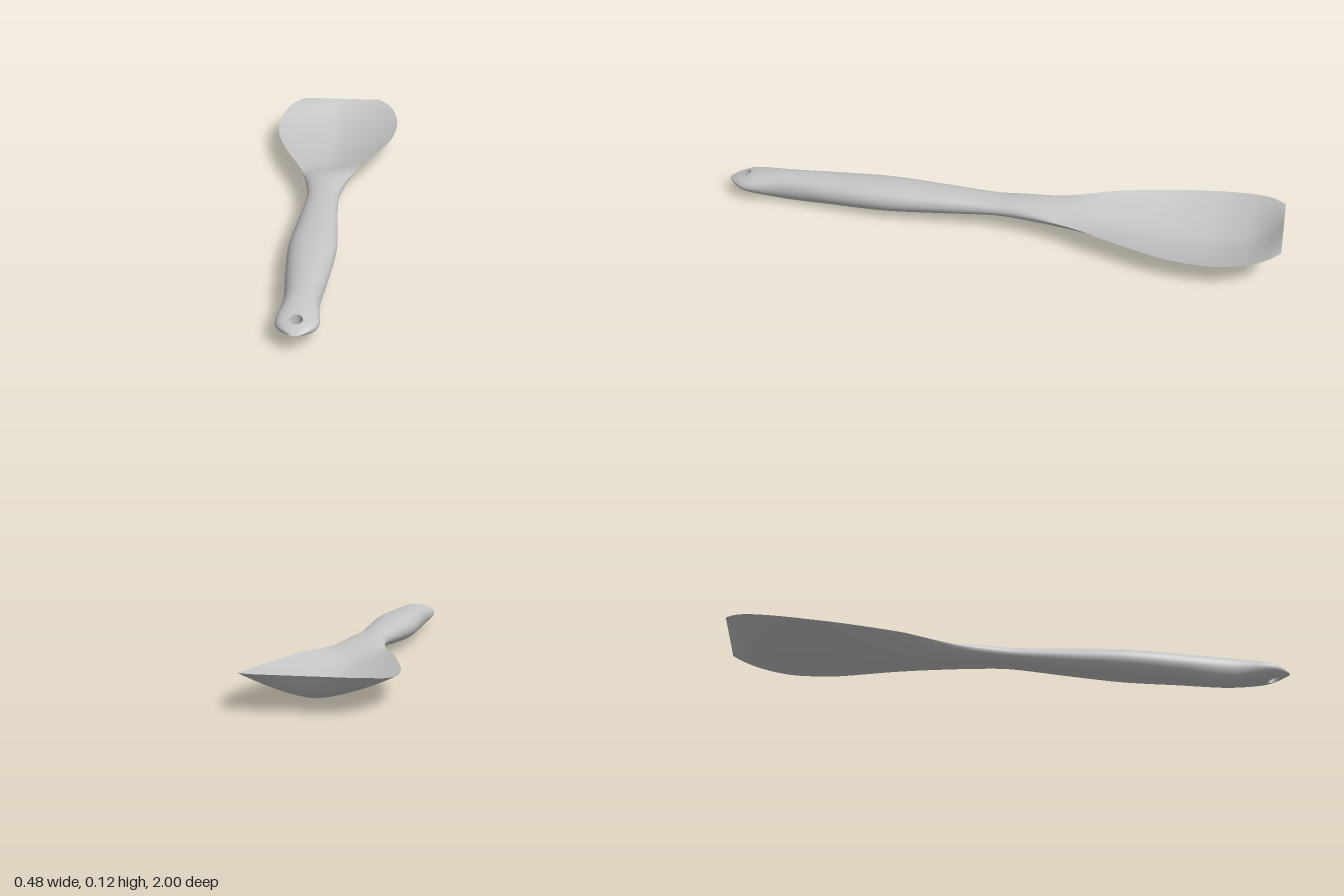
import * as THREE from 'three';
import { toCreasedNormals } from 'three/addons/utils/BufferGeometryUtils.js';

// Stations along the length: z, half width, top centre y, bottom centre y, edge y
const STATIONS = [
  [-1, 0.155, 0.114, 0.114, 0.114],
  [-0.96, 0.192, 0.082, 0.068, 0.108],
  [-0.9, 0.22, 0.05, 0.034, 0.098],
  [-0.8, 0.237, 0.028, 0.013, 0.086],
  [-0.7, 0.232, 0.023, 0.01, 0.081],
  [-0.6, 0.216, 0.025, 0.011, 0.08],
  [-0.4, 0.156, 0.047, 0.02, 0.085],
  [-0.3, 0.115, 0.072, 0.029, 0.084],
  [-0.2, 0.085, 0.1, 0.039, 0.08],
  [-0.1, 0.066, 0.108, 0.044, 0.077],
  [0, 0.057, 0.106, 0.043, 0.074],
  [0.2, 0.068, 0.112, 0.026, 0.068],
  [0.4, 0.08, 0.115, 0.012, 0.063],
  [0.6, 0.07, 0.109, 0.006, 0.058],
  [0.75, 0.058, 0.104, 0, 0.053],
  [0.82, 0.058, 0.1, 0.004, 0.053],
  [0.9, 0.067, 0.089, 0.018, 0.054],
  [0.94, 0.062, 0.078, 0.029, 0.054],
  [0.97, 0.042, 0.068, 0.04, 0.054],
  [1, 0.01, 0.054, 0.054, 0.054],
];

// Smooth interpolation of one column of the stations
function sample(z, col) {
  const S = STATIONS, last = S.length - 1;
  let i = 0;
  while (i < last - 1 && z > S[i + 1][0]) i++;
  const slope = (k) => {
    const a = S[Math.max(k - 1, 0)], b = S[Math.min(k + 1, last)];
    return (b[col] - a[col]) / (b[0] - a[0]);
  };
  const h = S[i + 1][0] - S[i][0], t = (z - S[i][0]) / h, t2 = t * t, t3 = t2 * t;
  return (2 * t3 - 3 * t2 + 1) * S[i][col] + (t3 - 2 * t2 + t) * h * slope(i)
    + (3 * t2 - 2 * t3) * S[i + 1][col] + (t3 - t2) * h * slope(i + 1);
}

// Point on the upper (side 2) or lower (side 3) skin; u runs from edge to edge
function skin(u, z, side) {
  const blade = 1 - THREE.MathUtils.smoothstep(z, -0.42, -0.1);
  const p = THREE.MathUtils.lerp(2.3, 1.5, blade);
  const q = THREE.MathUtils.lerp(0.5, 1, blade);
  const a = Math.min(1, Math.abs(u));
  const edge = sample(z, 4);
  const y = edge + (sample(z, side) - edge) * Math.pow(1 - Math.pow(a, p), q);
  return new THREE.Vector3(u * sample(z, 1), y, z);
}

export function createModel() {
  const pos = [];
  const quad = (a, b, c, d) => {
    for (const v of [a, b, c, a, c, d]) pos.push(v.x, v.y, v.z);
  };
  // Joins two skins, flipping the lower one
  const panel = (side, a, b, c, d) => (side === 2 ? quad(a, b, c, d) : quad(a, d, c, b));

  // Blade and handle up to the hanging tip
  const ACROSS = 32, ALONG = 110, SEAM = 0.88;
  const uAt = (j) => -Math.cos((Math.PI * j) / ACROSS);
  const zAt = (i) => (i === ALONG ? SEAM : -1 + ((SEAM + 1) * i) / ALONG);
  for (const side of [2, 3]) {
    for (let i = 0; i < ALONG; i++) {
      for (let j = 0; j < ACROSS; j++) {
        panel(side, skin(uAt(j), zAt(i), side), skin(uAt(j), zAt(i + 1), side),
          skin(uAt(j + 1), zAt(i + 1), side), skin(uAt(j + 1), zAt(i), side));
      }
    }
  }

  // Tip: rings spread from the hanging hole to the outline
  const HOLE_Z = 0.94, HOLE_R = 0.02, RINGS = 10, SIDE = 14;
  const outline = [];
  for (let j = 0; j <= ACROSS; j++) outline.push([uAt(j), SEAM]);
  for (let k = 1; k <= SIDE; k++) outline.push([1, SEAM + ((1 - SEAM) * k) / SIDE]);
  for (let k = SIDE; k >= 1; k--) outline.push([-1, SEAM + ((1 - SEAM) * k) / SIDE]);
  const tipPoint = (k, ring, side) => {
    const [u, z] = outline[k % outline.length];
    if (ring === RINGS) return skin(u, z, side);
    const x = u * sample(z, 1);
    const angle = Math.atan2(z - HOLE_Z, x);
    const t = Math.sin((Math.PI / 2) * (ring / RINGS));
    const px = THREE.MathUtils.lerp(Math.cos(angle) * HOLE_R, x, t);
    const pz = THREE.MathUtils.lerp(HOLE_Z + Math.sin(angle) * HOLE_R, z, t);
    return skin(THREE.MathUtils.clamp(px / sample(pz, 1), -1, 1), pz, side);
  };
  for (let k = 0; k < outline.length; k++) {
    for (const side of [2, 3]) {
      for (let r = 0; r < RINGS; r++) {
        panel(side, tipPoint(k, r, side), tipPoint(k + 1, r, side),
          tipPoint(k + 1, r + 1, side), tipPoint(k, r + 1, side));
      }
    }
    // Hole wall
    quad(tipPoint(k, 0, 2), tipPoint(k, 0, 3), tipPoint(k + 1, 0, 3), tipPoint(k + 1, 0, 2));
  }

  // Smooth skins with a crisp blade rim (scaled up while points are matched)
  let geometry = new THREE.BufferGeometry();
  geometry.setAttribute('position', new THREE.Float32BufferAttribute(pos, 3));
  geometry.scale(100, 100, 100);
  geometry = toCreasedNormals(geometry, 1.1);
  geometry.scale(0.01, 0.01, 0.01);

  const grey = new THREE.MeshStandardMaterial({ color: 0xc4c4c4 });
  grey.name = 'light grey';
  const spatula = new THREE.Mesh(geometry, grey);
  spatula.name = 'spoonSpatula';
  const group = new THREE.Group();
  group.name = 'spatula';
  group.add(spatula);
  return group;
}
